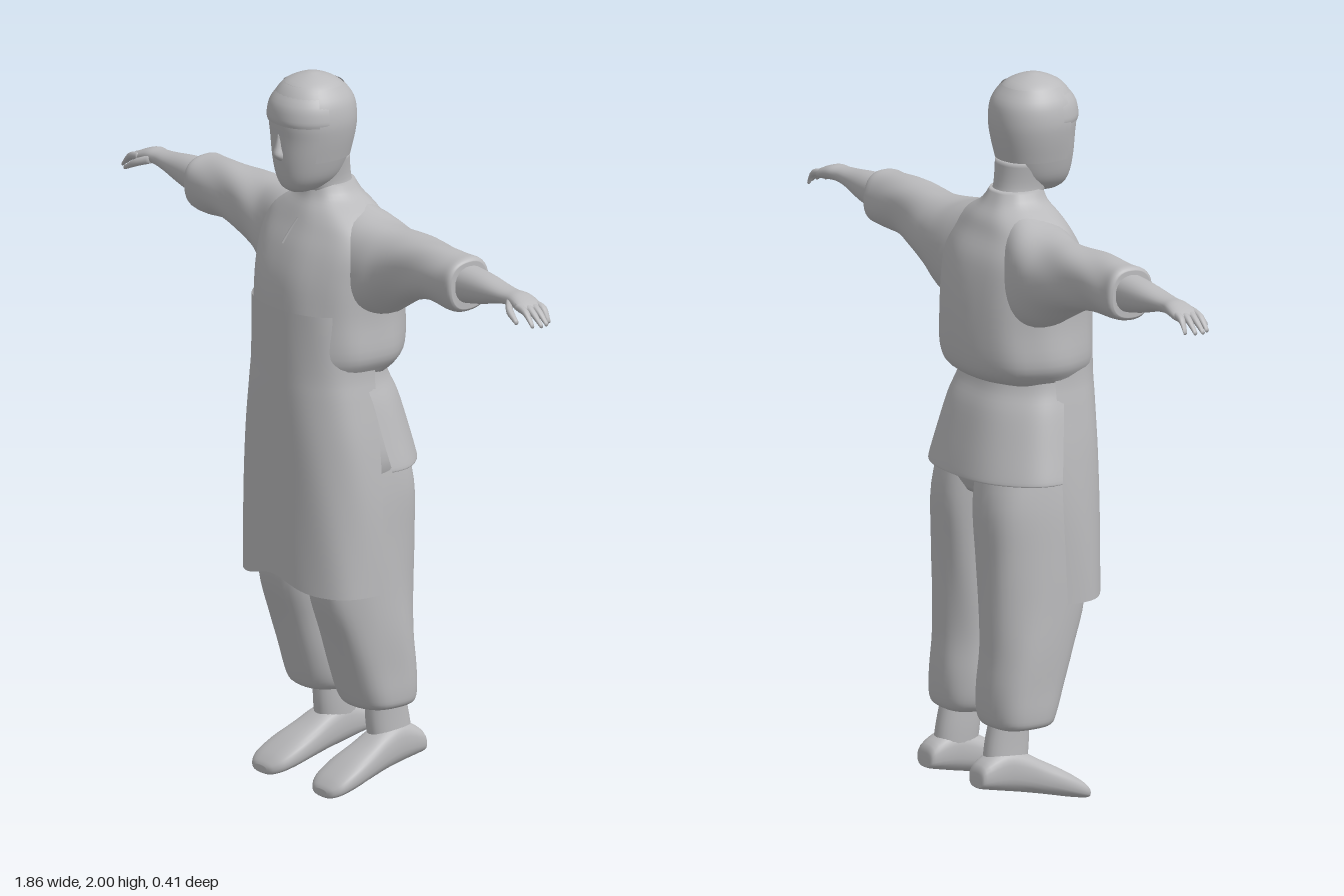
import * as THREE from 'three';

const cloth = new THREE.MeshStandardMaterial({ color: 0xbababc, side: THREE.DoubleSide });
cloth.name = 'plain grey';

// Smoothly adds rows between the given cross-sections
function resample(rows, sub) {
  const out = [];
  const at = i => rows[Math.max(0, Math.min(rows.length - 1, i))];
  for (let i = 0; i < rows.length - 1; i++) {
    for (let s = 0; s < sub; s++) {
      const u = s / sub;
      out.push(rows[i].map((b, k) => {
        const a = at(i - 1)[k], c = at(i + 1)[k], d = at(i + 2)[k];
        return 0.5 * (2 * b + (c - a) * u + (2 * a - 5 * b + 4 * c - d) * u * u
          + (3 * b - a - 3 * c + d) * u * u * u);
      }));
    }
  }
  out.push(rows[rows.length - 1].slice());
  return out;
}

// Loft along an axis. Rows: [t, a0, a1, b0, b1]; (a, b) is (y,z), (z,x) or (x,y) for axis x, y or z.
// An arc range makes an open panel; fold and wave add soft cloth ripples.
function loft(axis, rows, { seg = 36, sub = 4, p = 2.2, arc = null, fold = 0, waves = 6, wave = 10, warp = null } = {}) {
  const [from, to] = arc || [0, Math.PI * 2];
  const rings = resample(rows, sub);
  if (!arc) {
    const mid = r => [r[0], (r[1] + r[2]) / 2, (r[1] + r[2]) / 2, (r[3] + r[4]) / 2, (r[3] + r[4]) / 2];
    rings.unshift(mid(rings[0]));
    rings.push(mid(rings[rings.length - 1]));
  }
  const round = v => Math.sign(v) * Math.pow(Math.abs(v), 2 / p);
  const cols = arc ? seg + 1 : seg;
  const pos = [], index = [];
  rings.forEach((r, i) => {
    for (let j = 0; j < cols; j++) {
      const th = from + (to - from) * j / seg;
      const k = 1 + fold * Math.sin(waves * th + wave * r[0]);
      const a = (r[1] + r[2]) / 2 + (r[2] - r[1]) / 2 * round(Math.cos(th)) * k;
      const b = (r[3] + r[4]) / 2 + (r[4] - r[3]) / 2 * round(Math.sin(th)) * k;
      const v = axis === 'x' ? [r[0], a, b] : axis === 'y' ? [b, r[0], a] : [a, b, r[0]];
      if (warp) warp(v, th);
      pos.push(...v);
      if (i < rings.length - 1 && j < seg) {
        const n = (j + 1) % cols, q = i * cols;
        index.push(q + j, q + n, q + cols + j, q + n, q + cols + n, q + cols + j);
      }
    }
  });
  const g = new THREE.BufferGeometry();
  g.setAttribute('position', new THREE.Float32BufferAttribute(pos, 3));
  g.setIndex(index);
  g.computeVertexNormals();
  return g;
}

// Mirrors a geometry across x and keeps its faces outward
function mirror(geo) {
  const g = geo.clone().scale(-1, 1, 1);
  const ix = g.index.array;
  for (let i = 0; i < ix.length; i += 3) [ix[i], ix[i + 1]] = [ix[i + 1], ix[i]];
  g.computeVertexNormals();
  return g;
}

// Vertical section centred on x = 0
const sec = (y, z0, z1, rx) => [y, z0, z1, -rx, rx];

export function createModel() {
  const group = new THREE.Group();
  const add = (name, geo) => {
    const m = new THREE.Mesh(geo, cloth);
    m.name = name;
    group.add(m);
    return m;
  };
  const pair = (name, geo) => {
    add('left' + name, geo);
    add('right' + name, mirror(geo));
  };

  // Head, hair, nose and neck
  const skull = [[1.675, 0.07, 0.14, 0.025], [1.69, 0.02, 0.162, 0.05], [1.72, -0.01, 0.174, 0.073],
    [1.77, -0.03, 0.181, 0.09], [1.83, -0.042, 0.183, 0.104], [1.88, -0.046, 0.186, 0.11],
    [1.93, -0.038, 0.177, 0.102], [1.97, -0.01, 0.15, 0.077], [1.99, 0.025, 0.115, 0.045], [2.0, 0.06, 0.08, 0.01]];
  add('head', loft('y', skull.map(r => sec(...r))));
  add('hair', loft('y', skull.slice(3, 8).map(([y, z0, z1, rx]) => sec(y, z0 - 0.004, z1 + 0.003, rx + 0.004)),
    { arc: [1.15, Math.PI * 2 - 1.15] }));
  add('fringe', loft('y', [sec(1.872, -0.046, 0.189, 0.112), sec(1.89, -0.047, 0.191, 0.114),
    sec(1.93, -0.04, 0.181, 0.105), sec(1.975, -0.005, 0.144, 0.071)], { arc: [-1.4, 1.4] }));
  add('nose', loft('y', [sec(1.768, 0.15, 0.18, 0.014), sec(1.785, 0.15, 0.199, 0.018),
    sec(1.81, 0.15, 0.193, 0.012), sec(1.845, 0.15, 0.184, 0.007)], { seg: 14 }));
  add('neck', loft('y', [sec(1.6, -0.085, 0.08, 0.08), sec(1.66, -0.06, 0.085, 0.068),
    sec(1.7, -0.045, 0.1, 0.063), sec(1.77, -0.035, 0.11, 0.075)]));

  // Loose blouse gathered at the waist
  add('blouse', loft('y', [sec(1.17, -0.1, 0.18, 0.18), sec(1.195, -0.15, 0.195, 0.2), sec(1.24, -0.17, 0.2, 0.222),
    sec(1.34, -0.174, 0.2, 0.217), sec(1.44, -0.166, 0.19, 0.22), sec(1.52, -0.148, 0.165, 0.222),
    sec(1.58, -0.118, 0.135, 0.2), sec(1.62, -0.1, 0.115, 0.15), sec(1.655, -0.075, 0.095, 0.09),
    sec(1.69, -0.055, 0.085, 0.067)], { seg: 48, fold: 0.008, waves: 9, wave: 8 }));

  // Neck slit
  const slit = new THREE.CatmullRomCurve3([[0.012, 1.6, 0.125], [0, 1.57, 0.14], [-0.012, 1.53, 0.16]]
    .map(v => new THREE.Vector3(...v)));
  add('neckSlit', new THREE.TubeGeometry(slit, 8, 0.004, 6));

  // Long front panel, with its hem raised in the middle
  add('frontPanel', loft('y', [sec(0.575, -0.1, 0.203, 0.245), sec(0.7, -0.11, 0.204, 0.243), sec(0.85, -0.12, 0.205, 0.238),
    sec(1.0, -0.12, 0.206, 0.226), sec(1.12, -0.12, 0.205, 0.21), sec(1.2, -0.12, 0.203, 0.2), sec(1.36, -0.13, 0.201, 0.2)], {
    seg: 44, p: 2.4, arc: [-1.72, 1.72], fold: 0.004, waves: 8,
    warp: (v, th) => {
      const low = Math.max(0, 1 - (v[1] - 0.575) / 0.2);
      v[1] += 0.035 * low * Math.exp(-((v[0] / 0.1) ** 2));
    },
  }));

  // Short flared tail behind
  add('backTail', loft('y', [sec(0.918, -0.192, 0.17, 0.256), sec(0.93, -0.191, 0.17, 0.256), sec(1.0, -0.174, 0.18, 0.24),
    sec(1.1, -0.145, 0.185, 0.217), sec(1.16, -0.118, 0.185, 0.2), sec(1.21, -0.105, 0.185, 0.195)],
  { seg: 40, arc: [1.55, Math.PI * 2 - 1.55], fold: 0.008, waves: 7, wave: 2 }));

  // Hips inside the clothing
  add('hips', loft('y', [sec(0.86, -0.13, 0.13, 0.19), sec(0.94, -0.16, 0.15, 0.215),
    sec(1.08, -0.13, 0.17, 0.2), sec(1.2, -0.1, 0.18, 0.185)]));

  // Sleeves
  pair('Sleeve', loft('x', [[0.07, 1.38, 1.645, -0.1, 0.09], [0.15, 1.34, 1.628, -0.125, 0.1], [0.22, 1.355, 1.612, -0.128, 0.09],
    [0.28, 1.388, 1.606, -0.118, 0.075], [0.36, 1.428, 1.609, -0.105, 0.065], [0.45, 1.452, 1.61, -0.09, 0.06],
    [0.54, 1.45, 1.607, -0.085, 0.06], [0.585, 1.455, 1.607, -0.085, 0.06], [0.597, 1.465, 1.597, -0.073, 0.05]],
  { fold: 0.022, waves: 4, wave: 28 }));

  // Forearms running into the palms
  pair('Forearm', loft('x', [[0.56, 1.475, 1.587, -0.066, 0.04], [0.66, 1.495, 1.581, -0.06, 0.032], [0.74, 1.517, 1.57, -0.05, 0.024],
    [0.785, 1.523, 1.566, -0.046, 0.018], [0.82, 1.523, 1.565, -0.052, 0.02], [0.855, 1.518, 1.553, -0.054, 0.024],
    [0.878, 1.517, 1.54, -0.046, 0.018]], { seg: 24 }));

  // Fingers and thumb, drooping
  const finger = (name, a, b, c, r) => pair(name, loft('x', [a, b, c].map(([x, y, z], i) => {
    const k = r * [1, 0.95, 0.55][i];
    return [x, y - k, y + k, z - k, z + k];
  }), { seg: 12 }));
  [[-0.044, 0.905], [-0.024, 0.923], [-0.004, 0.928], [0.016, 0.916]].forEach(([z, tip], i) =>
    finger('Finger' + (i + 1), [0.845, 1.538, z * 0.9], [0.885, 1.53, z], [tip, 1.5, z * 1.05], 0.0105));
  finger('Thumb', [0.8, 1.54, 0.008], [0.835, 1.527, 0.033], [0.875, 1.505, 0.04], 0.012);

  // Baggy trousers gathered above the ankle
  pair('TrouserLeg', loft('y', [[0.225, -0.13, 0.005, 0.05, 0.18], [0.237, -0.153, 0.028, 0.022, 0.212], [0.27, -0.162, 0.043, 0.008, 0.22],
    [0.34, -0.163, 0.065, 0.004, 0.221], [0.44, -0.156, 0.097, 0.005, 0.222], [0.56, -0.158, 0.136, 0, 0.219],
    [0.7, -0.163, 0.145, -0.004, 0.217], [0.85, -0.168, 0.14, -0.01, 0.213], [1.0, -0.14, 0.13, -0.02, 0.195]],
  { p: 2.4, fold: 0.014, waves: 5, wave: 11 }));

  // Ankles and soft shoes with toes pointing down
  pair('Ankle', loft('y', [[0.1, -0.17, -0.04, 0.078, 0.163], [0.18, -0.16, -0.03, 0.074, 0.16], [0.26, -0.14, -0.03, 0.074, 0.16]],
    { seg: 24 }));
  pair('Shoe', loft('z', [[-0.2, 0.1, 0.15, 0.073, 0.095], [-0.188, 0.083, 0.165, 0.068, 0.135], [-0.12, 0.075, 0.17, 0.053, 0.17],
    [-0.06, 0.07, 0.178, 0.041, 0.155], [0, 0.065, 0.189, 0.028, 0.122], [0.06, 0.061, 0.199, 0.014, 0.09],
    [0.11, 0.068, 0.198, 0.004, 0.058], [0.135, 0.088, 0.182, 0.001, 0.036], [0.143, 0.11, 0.16, 0.006, 0.024]], { seg: 28, p: 2.6 }));

  return group;
}
